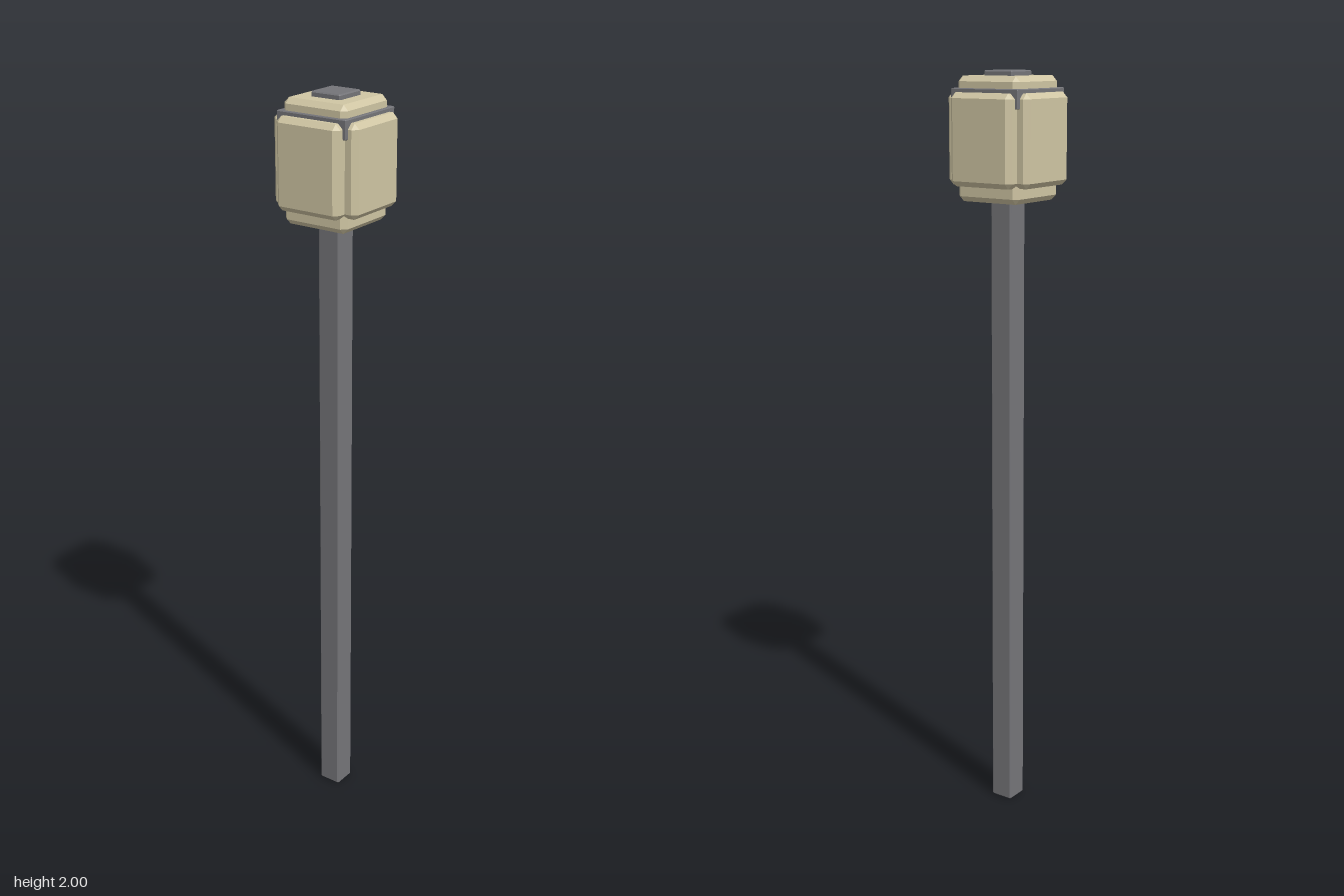
import * as THREE from 'three';
import { ConvexGeometry } from 'three/addons/geometries/ConvexGeometry.js';

const cream = new THREE.MeshStandardMaterial({ color: 0xd0c6a4 });
cream.name = 'cream glass';
const grey = new THREE.MeshStandardMaterial({ color: 0x757579 });
grey.name = 'dark grey metal';

// Box with all edges and corners cut flat by the given bevel
function bevelBox(w, h, d, bevel) {
  const points = [];
  const half = [w / 2, h / 2, d / 2];
  for (let axis = 0; axis < 3; axis++) {
    for (const sx of [-1, 1]) for (const sy of [-1, 1]) for (const sz of [-1, 1]) {
      const p = half.map((v, i) => (i === axis ? v : v - bevel));
      points.push(new THREE.Vector3(p[0] * sx, p[1] * sy, p[2] * sz));
    }
  }
  return new ConvexGeometry(points);
}

export function createModel() {
  const group = new THREE.Group();
  group.name = 'lampPost';

  function addBox(name, material, w, d, bottom, top, bevel) {
    const mesh = new THREE.Mesh(bevelBox(w, top - bottom, d, bevel), material);
    mesh.name = name;
    mesh.position.y = (bottom + top) / 2;
    group.add(mesh);
  }

  // Square post
  addBox('post', grey, 0.064, 0.064, 0, 1.7, 0.004);

  // Lantern: three crossed bevelled blocks
  addBox('lanternCore', cream, 0.188, 0.188, 1.676, 1.987, 0.0135);
  addBox('sidePanels', cream, 0.252, 0.188, 1.716, 1.947, 0.0135);
  addBox('frontBackPanels', cream, 0.188, 0.252, 1.716, 1.947, 0.0135);

  // Metal collar showing above the panels and at the corners
  addBox('collar', grey, 0.205, 0.205, 1.909, 1.957, 0.002);

  // Small cap on top
  addBox('topCap', grey, 0.087, 0.087, 1.97, 2, 0.003);

  return group;
}
